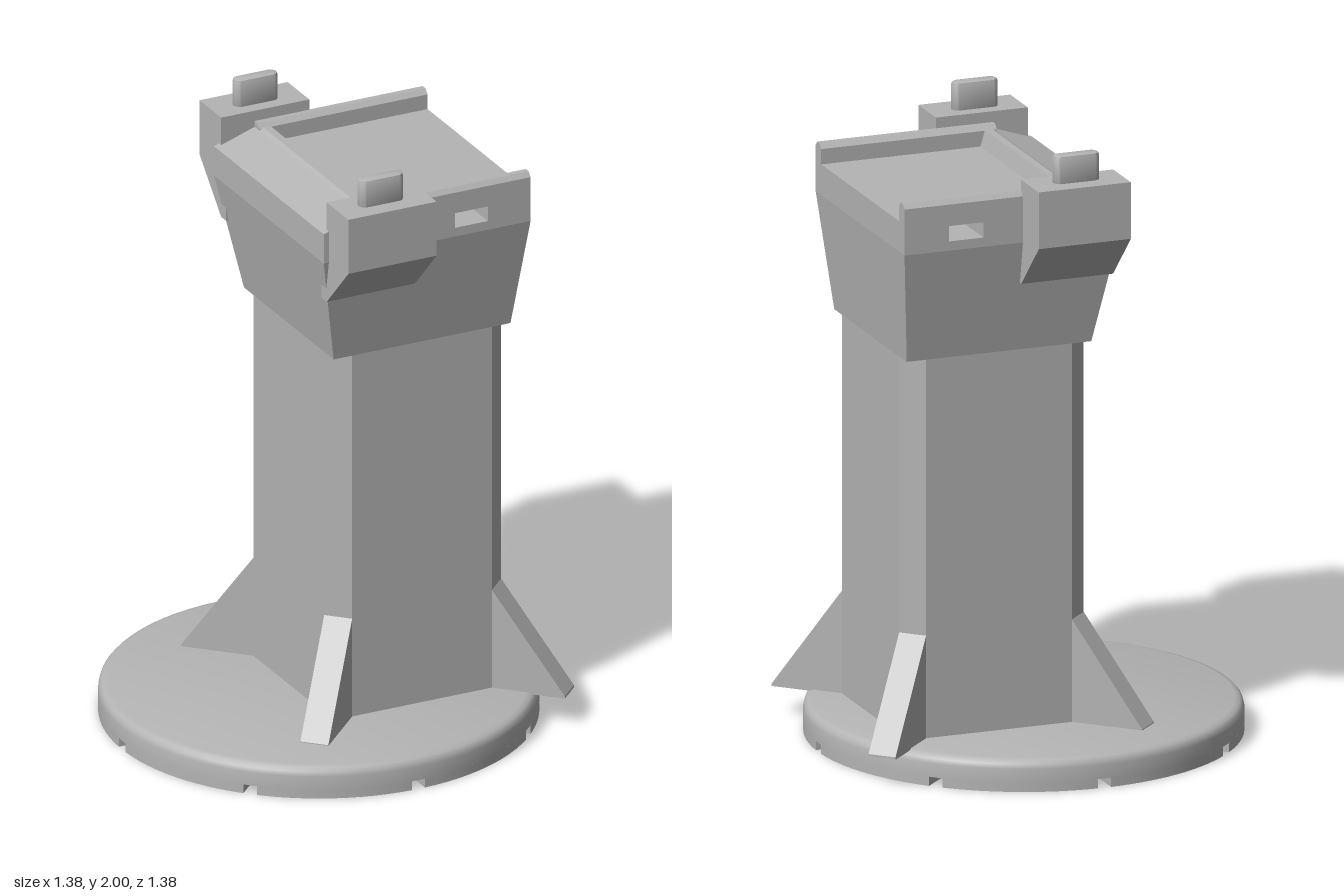
import * as THREE from 'three';
import { toCreasedNormals } from 'three/addons/utils/BufferGeometryUtils.js';

const CX = 0.205; // column centre, offset from the base centre
const grey = new THREE.MeshStandardMaterial({ color: 0xb4b4b4 });
grey.name = 'grey';

const shapeOf = (pts) => new THREE.Shape(pts.map(([x, y]) => new THREE.Vector2(x, y)));
const extrude = (shape, depth, opts = {}) =>
  new THREE.ExtrudeGeometry(shape, { depth, bevelEnabled: false, ...opts });

// Plan shape (x, -z) raised from y0 to y1
const raise = (shape, y0, y1) => extrude(shape, y1 - y0).rotateX(-Math.PI / 2).translate(0, y0, 0);

// Profile in (z, y) swept along x from x0 to x1
const sweepX = (pts, x0, x1) => extrude(shapeOf(pts), x1 - x0).rotateY(-Math.PI / 2).translate(x1, 0, 0);

export function createModel() {
  const model = new THREE.Group();
  model.name = 'pedestal';
  const add = (name, geometry) => {
    const mesh = new THREE.Mesh(geometry, grey);
    mesh.name = name;
    model.add(mesh);
    return mesh;
  };

  // Base disc with a rounded upper edge
  const R = 0.69, slotTop = 0.03;
  const discProfile = [[0, slotTop], [R, slotTop], [R, 0.075], [0.686, 0.09], [0.677, 0.1], [0.66, 0.105], [0, 0.105]];
  const disc = new THREE.LatheGeometry(discProfile.map(([x, y]) => new THREE.Vector2(x, y)), 96);
  add('baseDisc', toCreasedNormals(disc, 0.7));

  // Lower layer of the base, cut by eight radial slots
  const foot = [], half = 0.0225, gap = Math.asin(half / R);
  for (let i = 0; i < 8; i++) {
    const a = i * Math.PI / 4, c = Math.cos(a), s = Math.sin(a), r = 0.09;
    foot.push([r * c + half * s, r * s - half * c], [r * c - half * s, r * s + half * c]);
    for (let k = 0; k <= 12; k++) {
      const t = a + gap + (Math.PI / 4 - 2 * gap) * k / 12;
      foot.push([R * Math.cos(t), R * Math.sin(t)]);
    }
  }
  add('slottedFoot', toCreasedNormals(raise(shapeOf(foot), 0, slotTop), 0.3));

  // Square column with chamfered corners
  const h = 0.31, c = 0.245;
  const octagon = [[h, -c], [h, c], [c, h], [-c, h], [-h, c], [-h, -c], [-c, -h], [c, -h]];
  add('column', raise(shapeOf(octagon), 0, 1.34)).position.x = CX;

  // Triangular corner braces
  const brace = shapeOf([[0.35, 0.1], [0.632, 0.1], [0.632, 0.108], [0.392, 0.44], [0.35, 0.44]]);
  for (let i = 0; i < 4; i++) {
    const mesh = add('cornerBrace', extrude(brace, 0.092).translate(0, 0, -0.046));
    mesh.rotation.y = Math.PI / 4 + i * Math.PI / 2;
    mesh.position.x = CX;
  }

  // Flared lower half of the head
  const flare = new THREE.BoxGeometry(1, 1, 1);
  const p = flare.attributes.position;
  for (let i = 0; i < p.count; i++) {
    const up = p.getY(i) > 0;
    const x = p.getX(i) > 0 ? (up ? 0.55 : 0.515) : (up ? -0.175 : -0.105);
    p.setXYZ(i, x, up ? 1.71 : 1.34, Math.sign(p.getZ(i)) * (up ? 0.38 : 0.31));
  }
  flare.computeVertexNormals();
  add('headFlare', flare);

  // Upper half of the head: tray floor, sloping back and a through slot
  const head = shapeOf([[-0.175, 1.71], [0.55, 1.71], [0.55, 1.81], [0.015, 1.81],
    [0, 1.862], [-0.025, 1.862], [-0.04, 1.855], [-0.175, 1.81]]);
  head.holes.push(new THREE.Path([[0.285, 1.74], [0.285, 1.79], [0.4, 1.79], [0.4, 1.74]]
    .map(([x, y]) => new THREE.Vector2(x, y))));
  add('head', extrude(head, 0.76).translate(0, 0, -0.38));

  // Stadium outline for the pegs
  const peg = new THREE.Shape();
  peg.absarc(0.053, 0, 0.0145, -Math.PI / 2, Math.PI / 2, false);
  peg.absarc(-0.053, 0, 0.0145, Math.PI / 2, Math.PI * 1.5, false);

  for (const s of [1, -1]) {
    const side = (pts) => pts.map(([z, y]) => [s * z, y]);

    // Tray rim
    add('trayRim', sweepX(side([[0.38, 1.8], [0.38, 1.86], [0.367, 1.875], [0.347, 1.875], [0.332, 1.86], [0.332, 1.8]]),
      -0.04, 0.55));

    // Wedge-bottomed bracket
    add('bracket', sweepX(side([[0.365, 1.91], [0.515, 1.91], [0.515, 1.725], [0.365, 1.57],
      [0.33, 1.57], [0.33, 1.78], [0.365, 1.78]]), -0.157, 0.152));

    // Rounded peg on the bracket
    const pegGeometry = extrude(peg, 0.09, {
      bevelEnabled: true, bevelSize: 0.009, bevelThickness: 0.01, bevelSegments: 2, curveSegments: 8,
    }).rotateX(-Math.PI / 2);
    add('peg', toCreasedNormals(pegGeometry, 0.7)).position.set(-0.004, 1.9, s * 0.433);
  }

  return model;
}
